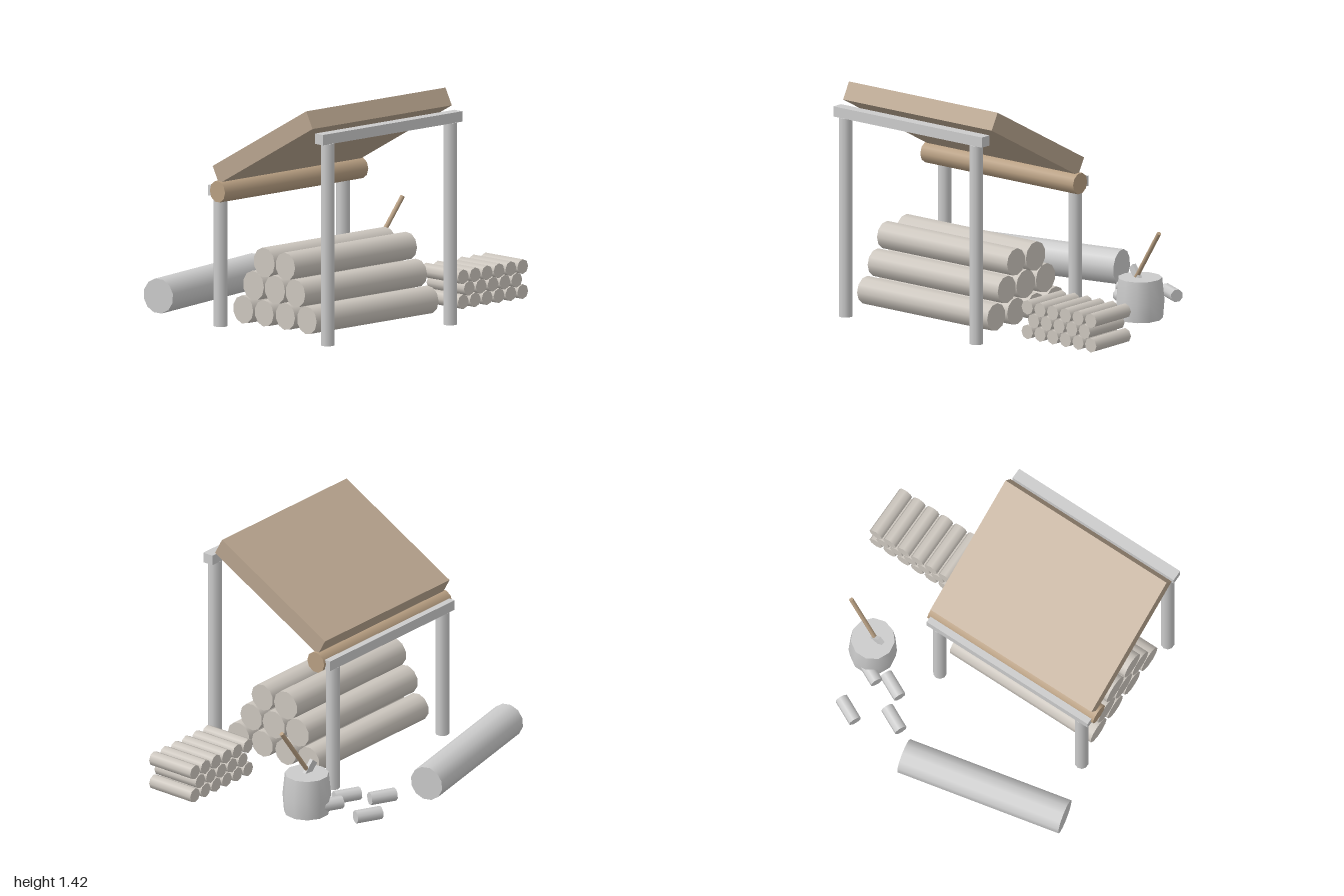
import * as THREE from 'three';

const paint = (color) => new THREE.MeshStandardMaterial({ color });

export function createModel() {
  const model = new THREE.Group();
  model.name = 'woodShed';
  const grey = paint(0xcccccc);
  const bark = paint(0xccc6be);
  const board = paint(0xb8a48e);
  const brown = paint(0xb89f82);

  const add = (name, geometry, material, parent = model) => {
    const mesh = new THREE.Mesh(geometry, material);
    mesh.name = name;
    parent.add(mesh);
    return mesh;
  };

  const group = (name) => {
    const g = new THREE.Group();
    g.name = name;
    model.add(g);
    return g;
  };

  // Cylinder running between two points
  const up = new THREE.Vector3(0, 1, 0);
  const rod = (name, from, to, radius, sides, material, parent) => {
    const a = new THREE.Vector3(...from);
    const b = new THREE.Vector3(...to);
    const dir = b.clone().sub(a);
    const mesh = add(name, new THREE.CylinderGeometry(radius, radius, dir.length(), sides), material, parent);
    mesh.position.copy(a).add(b).multiplyScalar(0.5);
    mesh.quaternion.setFromUnitVectors(up, dir.normalize());
    return mesh;
  };

  // Posts and the beams they carry: tall pair in front, short pair behind
  const frame = group('frame');
  for (const [side, z, height] of [['front', 0.795, 1.23], ['back', -0.125, 0.8]]) {
    for (const x of [-0.835, 0.19]) rod(side + 'Post', [x, 0, z], [x, height, z], 0.042, 10, grey, frame);
    add(side + 'Beam', new THREE.BoxGeometry(1.165, 0.063, 0.07), grey, frame)
      .position.set(-0.322, height + 0.031, z - 0.003);
  }

  // Sloping roof slab resting on a ridge log
  const roof = add('roof', new THREE.BoxGeometry(1.165, 0.115, 0.914), board);
  roof.position.set(-0.322, 1.15, 0.307);
  roof.rotation.x = -0.496;
  rod('roofLog', [-0.92, 0.835, -0.065], [0.278, 0.835, -0.065], 0.066, 10, brown);

  // Pyramid of long logs under the roof: [z, y, radius]
  const pile = group('logPile');
  const pileLogs = [
    [0.61, 0.127, 0.085], [0.426, 0.127, 0.083], [0.244, 0.123, 0.081], [0.064, 0.123, 0.086],
    [0.512, 0.278, 0.085], [0.336, 0.278, 0.088], [0.152, 0.28, 0.09],
    [0.426, 0.432, 0.084], [0.244, 0.432, 0.091],
  ];
  for (const [z, y, r] of pileLogs) rod('longLog', [-0.83, y, z], [0.19, y, z], r, 11, bark, pile);

  // Neat stack of short firewood, rows of 6, 5 and 6
  const stack = group('firewoodStack');
  [6, 5, 6].forEach((count, row) => {
    for (let i = 0; i < count; i++) {
      const x = 0.703 + (i - (count - 1) / 2) * 0.0995;
      const y = 0.084 + row * 0.076;
      rod('firewood', [x, y, 0.315], [x, y, 0.636], 0.045, 8, bark, stack);
    }
  });

  // Big log lying behind the shed
  rod('fallenLog', [-0.977, 0.15, -0.514], [0.041, 0.15, -0.732], 0.107, 12, grey);

  // Chopped pieces scattered by the block
  const pieces = group('choppedPieces');
  for (const [x, z] of [[0.235, -0.55], [0.495, -0.655], [0.36, -0.377], [0.527, -0.377]]) {
    rod('choppedPiece', [x - 0.075, 0.08, z - 0.037], [x + 0.075, 0.08, z + 0.037], 0.04, 8, grey, pieces);
  }

  // Chopping block: slightly bulging side with flat caps
  const block = group('choppingBlock');
  block.position.set(0.588, 0, -0.254);
  const rings = [[0.138, 0.02], [0.147, 0.13], [0.133, 0.27]];
  add('blockSide', new THREE.LatheGeometry(rings.map(([r, y]) => new THREE.Vector2(r, y)), 11), grey, block);
  for (const [name, ring, turn] of [['blockTop', rings[2], -1], ['blockBottom', rings[0], 1]]) {
    const profile = [new THREE.Vector2(0, ring[1]), new THREE.Vector2(ring[0], ring[1])];
    if (turn < 0) profile.reverse();
    add(name, new THREE.LatheGeometry(profile, 11), grey, block);
  }

  // Axe stuck in the block
  const axe = group('axe');
  rod('axeHandle', [0.552, 0.25, -0.25], [0.773, 0.58, -0.212], 0.014, 8, brown, axe);
  const head = add('axeHead', new THREE.BoxGeometry(0.12, 0.045, 0.025), grey, axe);
  head.position.set(0.563, 0.284, -0.25);
  head.rotation.set(0, -0.15, -0.9);

  return model;
}
